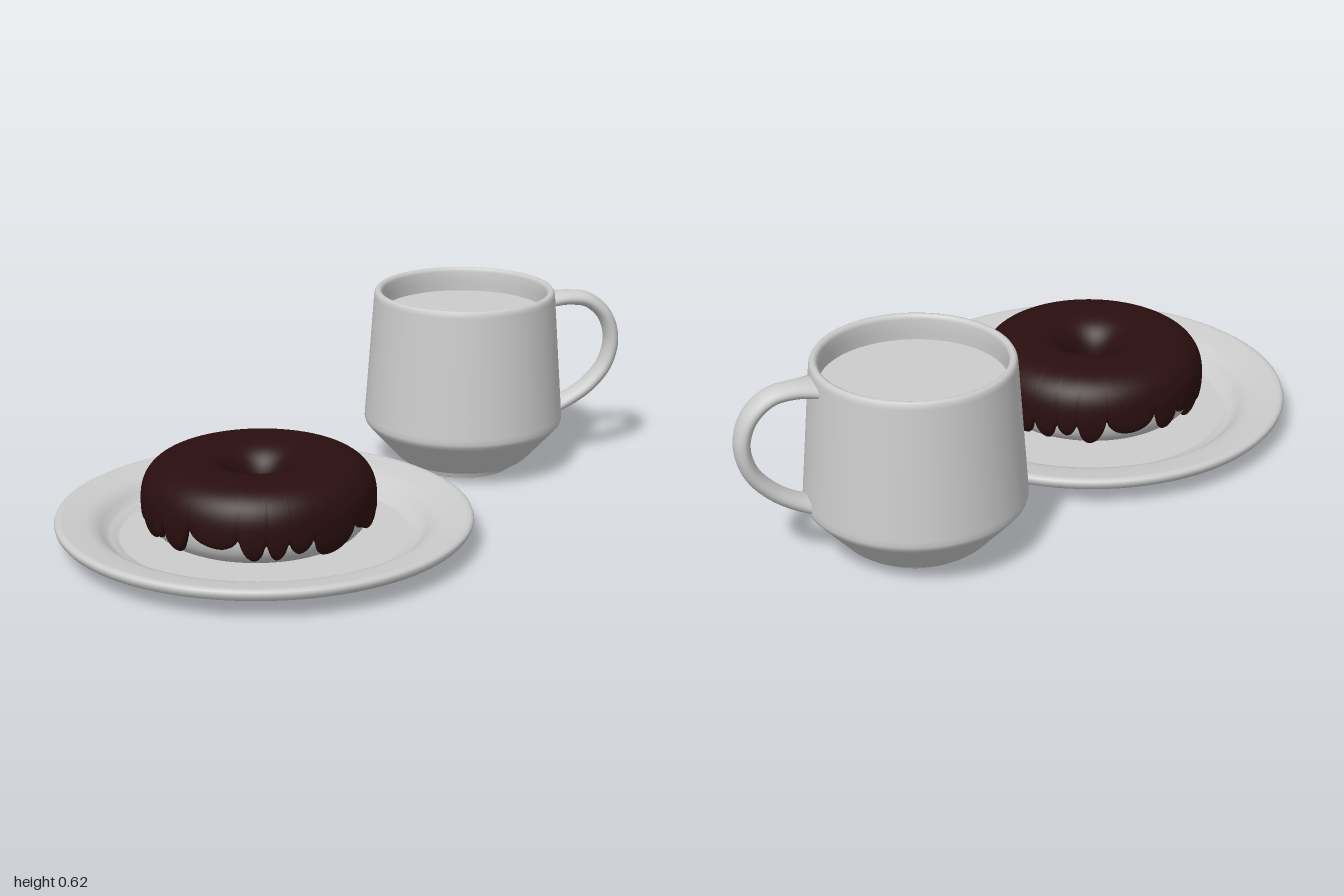
import * as THREE from 'three';

const V2 = (p) => new THREE.Vector2(p[0], p[1]);

// Revolve a profile; points run bottom centre -> outside -> top centre
function lathe(name, points, material, segments = 96) {
  const mesh = new THREE.Mesh(new THREE.LatheGeometry(points.map(V2), segments), material);
  mesh.name = name;
  return mesh;
}

// Smooth-shaded grid surface closed around the vertical axis; fn(angle, v) -> [radius, y]
function ringSurface(name, fn, nu, nv, material) {
  const pos = [], idx = [];
  for (let i = 0; i <= nu; i++) {
    const a = ((i % nu) / nu) * Math.PI * 2;
    for (let j = 0; j <= nv; j++) {
      const [r, y] = fn(a, j / nv);
      pos.push(r * Math.sin(a), y, r * Math.cos(a));
    }
  }
  for (let i = 0; i < nu; i++) {
    for (let j = 0; j < nv; j++) {
      const p = i * (nv + 1) + j, q = ((i + 1) % nu) * (nv + 1) + j;
      idx.push(p, q, p + 1, q, q + 1, p + 1);
    }
  }
  const g = new THREE.BufferGeometry();
  g.setAttribute('position', new THREE.Float32BufferAttribute(pos, 3));
  g.setIndex(idx);
  g.computeVertexNormals();
  const mesh = new THREE.Mesh(g, material);
  mesh.name = name;
  return mesh;
}

// Rounded doughnut cross-section at angle t, grown outward by d
const spow = (v, p) => Math.sign(v) * Math.pow(Math.abs(v), p);
function section(t, d) {
  return [0.22 + (0.135 + d) * spow(Math.cos(t), 0.8), 0.15 + (0.12 + d) * spow(Math.sin(t), 0.8)];
}

// Uneven drip length around the doughnut, as a section angle below the middle
const drips = [0.6, 0.42, 0.75, 0.35, 0.7, 0.5, 0.28, 0.72, 0.62, 0.4, 0.78, 0.45, 0.66, 0.3, 0.74, 0.55, 0.38, 0.7, 0.48, 0.76, 0.33, 0.64];
function dripAngle(a) {
  const s = (a / (Math.PI * 2)) * drips.length + 0.35 * Math.sin(a * 5) + drips.length;
  const k = Math.round(s), f = s - k;
  const shape = Math.pow(Math.cos(f * Math.PI), 0.7);
  return -0.04 - 0.06 * Math.sin(a * 3 + 1) - drips[k % drips.length] * shape;
}

export function createModel() {
  const ceramic = new THREE.MeshStandardMaterial({ color: 0xcccccc });
  ceramic.name = 'pale ceramic';
  const chocolate = new THREE.MeshStandardMaterial({ color: 0x2a0e0f });
  chocolate.name = 'dark chocolate';

  const model = new THREE.Group();
  model.name = 'coffeeAndDoughnut';

  // Plate with foot, raised rim and sunken well
  const plate = lathe('plate', [
    [0, 0.012], [0.225, 0.012], [0.235, 0.007], [0.265, 0.007], [0.275, 0.012],
    [0.468, 0.012], [0.475, 0.002], [0.482, 0], [0.492, 0.002], [0.505, 0.016],
    [0.525, 0.034], [0.545, 0.046], [0.575, 0.051], [0.625, 0.055], [0.648, 0.064],
    [0.657, 0.075], [0.66, 0.086], [0.657, 0.094], [0.648, 0.099], [0.635, 0.098],
    [0.6, 0.092], [0.56, 0.086], [0.535, 0.078], [0.515, 0.062], [0.5, 0.047],
    [0.485, 0.04], [0.47, 0.037], [0.465, 0.031], [0.455, 0.03], [0, 0.03],
  ], ceramic);
  plate.position.set(-0.34, 0, 0.145);
  model.add(plate);

  // Doughnut: pale dough with a thick dripping glaze
  const doughnut = new THREE.Group();
  doughnut.name = 'doughnut';
  doughnut.position.set(-0.357, 0, 0.145);
  const turn = Math.PI * 2;
  doughnut.add(ringSurface('dough', (a, v) => section(v * turn, 0), 96, 40, ceramic));
  doughnut.add(ringSurface('glaze', (a, v) => {
    const start = dripAngle(a), end = Math.PI + 0.45 + 0.12 * Math.sin(a * 4);
    const edge = Math.min(1, Math.min(v, 1 - v) / 0.07);
    const d = -0.004 + 0.02 * Math.sqrt(1 - (1 - edge) * (1 - edge));
    return section(start + (end - start) * v, d);
  }, 352, 56, chocolate));
  model.add(doughnut);

  // Cup: stepped foot, sloping base, tapered wall, rounded lip and inner wall
  const cup = new THREE.Group();
  cup.name = 'cup';
  cup.position.set(0.45, 0, -0.47);
  cup.add(lathe('cupBody', [
    [0, 0.008], [0.155, 0.008], [0.162, 0.001], [0.17, 0], [0.176, 0.004], [0.178, 0.02],
    [0.186, 0.024], [0.2, 0.025], [0.215, 0.031], [0.23, 0.043], [0.26, 0.076], [0.325, 0.148],
    [0.335, 0.16], [0.339, 0.172], [0.338, 0.19], [0.322, 0.4], [0.307, 0.6],
    [0.305, 0.612], [0.3, 0.62], [0.292, 0.622], [0.284, 0.618], [0.279, 0.608],
    [0.279, 0.57], [0.281, 0.52],
  ], ceramic));

  // Drink surface
  const drink = new THREE.Mesh(new THREE.CircleGeometry(0.281, 72), ceramic);
  drink.name = 'drinkSurface';
  drink.rotation.x = -Math.PI / 2;
  drink.position.y = 0.54;
  cup.add(drink);

  // Handle: flattened tube that flares where it meets the wall
  const path = new THREE.CatmullRomCurve3([
    [0.285, 0.57], [0.37, 0.572], [0.435, 0.56], [0.497, 0.505], [0.523, 0.42],
    [0.503, 0.33], [0.45, 0.262], [0.38, 0.212], [0.305, 0.18],
  ].map(([x, y]) => new THREE.Vector3(x, y, 0)));
  const tube = new THREE.TubeGeometry(path, 64, 0.025, 20);
  tube.scale(1, 1, 1.7);
  const p = tube.attributes.position;
  for (let i = 0; i < p.count; i++) {
    const flare = Math.max(0, (0.39 - p.getX(i)) / 0.1);
    p.setZ(i, p.getZ(i) * (1 + 0.7 * flare * flare));
  }
  const handle = new THREE.Mesh(tube, ceramic);
  handle.name = 'cupHandle';
  cup.add(handle);
  model.add(cup);

  return model;
}
